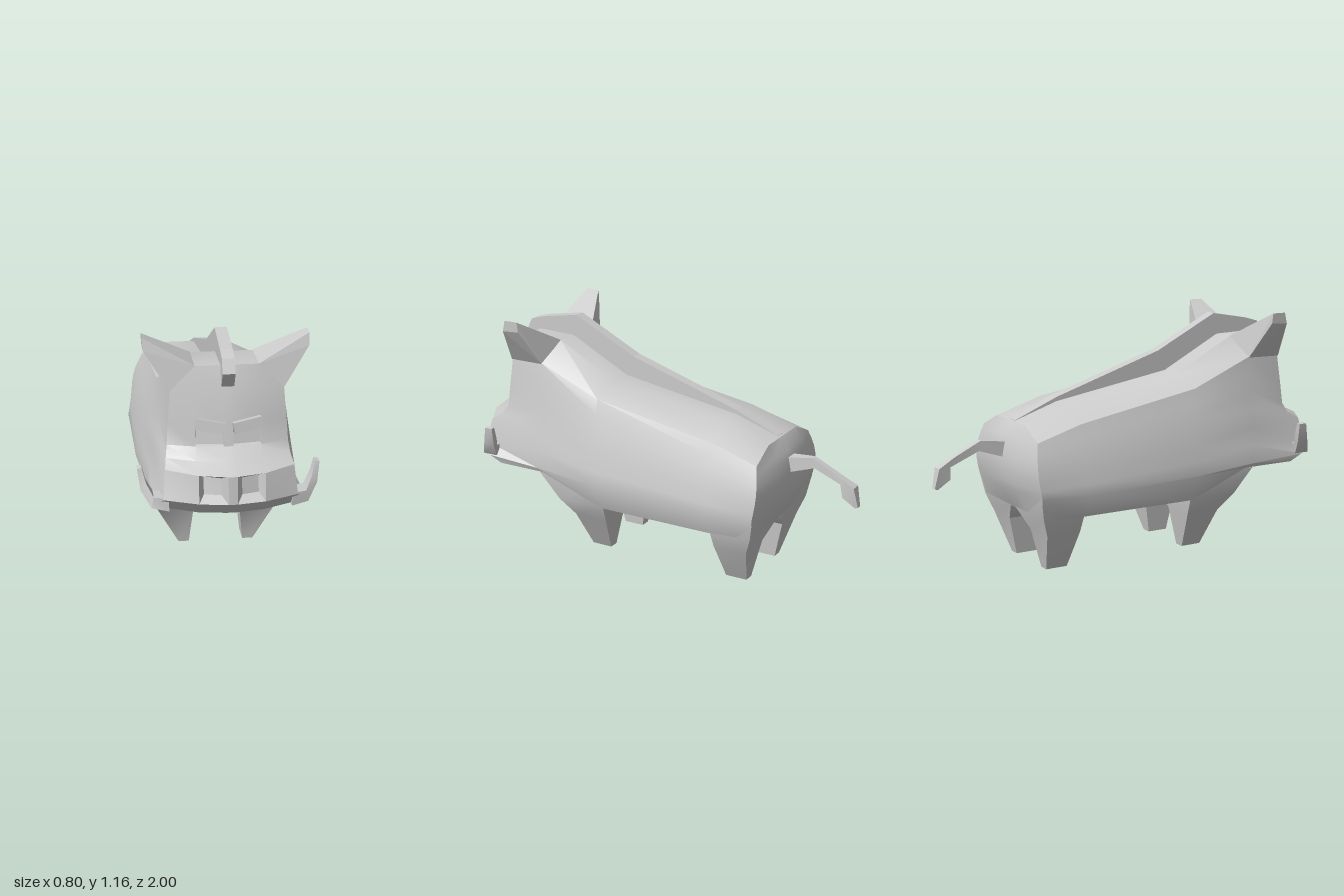
import * as THREE from 'three';
import { toCreasedNormals } from 'three/addons/utils/BufferGeometryUtils.js';
import { ConvexGeometry } from 'three/addons/geometries/ConvexGeometry.js';

const material = new THREE.MeshStandardMaterial({ color: 0xcccccc, side: THREE.DoubleSide });
const lerp = THREE.MathUtils.lerp;

// Collects quads; mirrored quads are repeated on the -x side.
class Shell {
  constructor(mirror) { this.mirror = mirror; this.pos = []; }
  quad(a, b, c, d) {
    this.pos.push(...a, ...b, ...c, ...a, ...c, ...d);
    if (this.mirror) {
      const [p, q, r, s] = [d, c, b, a].map(([x, y, z]) => [-x, y, z]);
      this.pos.push(...p, ...q, ...r, ...p, ...r, ...s);
    }
  }
  mesh(name, crease = 0.6) {
    const g = new THREE.BufferGeometry();
    g.setAttribute('position', new THREE.Float32BufferAttribute(this.pos, 3));
    return named(toCreasedNormals(g, crease), name);
  }
}

function named(geometry, name) {
  const m = new THREE.Mesh(geometry, material);
  m.name = name;
  return m;
}

// Closed loft through four-cornered rings, capped at both ends.
function loft(name, rings, mirror) {
  const s = new Shell(mirror);
  for (let i = 0; i < rings.length - 1; i++) {
    for (let k = 0; k < 4; k++) {
      const n = (k + 1) % 4;
      s.quad(rings[i][k], rings[i][n], rings[i + 1][n], rings[i + 1][k]);
    }
  }
  s.quad(...[...rings[0]].reverse());
  s.quad(...rings[rings.length - 1]);
  return s.mesh(name, 0.5);
}

// Edge rows of the face: edge x, y, z, then centre y, z.
const faceRows = [
  [0.15, 1.035, 0.75, 1.035, 0.75],
  [0.25, 0.93, 0.765, 0.93, 0.79],
  [0.262, 0.785, 0.78, 0.785, 0.82],
  [0.268, 0.69, 0.79, 0.69, 0.838],
  [0.275, 0.64, 0.82, 0.645, 0.9],
  [0.283, 0.61, 0.88, 0.61, 0.99],
  [0.295, 0.485, 0.92, 0.485, 1.0],
  [0.345, 0.435, 0.86, 0.415, 0.93],
  [0.335, 0.40, 0.8, 0.40, 0.8],
];

// Half cross-section: top edge A, shoulder B to widest D in steps, belly E.
function section(A, B, D, E, bow) {
  const pts = [A];
  for (let i = 0; i <= 6; i++) {
    const t = i / 6;
    pts.push([lerp(B[0], D[0], t) + bow * Math.sin(Math.PI * t), lerp(B[1], D[1], t),
      lerp(B[2], D[2], t) - (B[2] < -0.5 ? 0.02 * Math.sin(Math.PI * t) : 0)]);
  }
  pts.push(E);
  return pts;
}

// Surface spanning the two edges, bowed towards the centre line.
function grid(rows) {
  return rows.map(([ex, ey, ez, cy, cz]) => [0, 0.02, 0.145, ex].map((x) => {
    const t = (x / ex) ** 2;
    return [x, lerp(cy, ey, t), lerp(cz, ez, t)];
  }));
}

// Sunken pocket replacing one cell of the face.
function pocket(s, corners, inset, depth) {
  const mid = [0, 1, 2].map((k) => corners.reduce((sum, p) => sum + p[k] / 4, 0));
  const floor = corners.map((p) => [lerp(p[0], mid[0], inset), lerp(p[1], mid[1], inset), p[2] - depth]);
  for (let k = 0; k < 4; k++) {
    const n = (k + 1) % 4;
    s.quad(corners[k], corners[n], floor[n], floor[k]);
  }
  s.quad(...floor);
}

function buildBody() {
  const s = new Shell(true);
  const rear = section([0.15, 0.695, -0.6], [0.28, 0.635, -0.605], [0.335, 0.38, -0.61], [0.3, 0.275, -0.59], 0.02);
  const rings = [
    rear,
    section([0.14, 0.77, -0.37], [0.27, 0.7, -0.37], [0.37, 0.38, -0.38], [0.33, 0.275, -0.38], 0.012),
    section([0.14, 0.87, 0.24], [0.27, 0.81, 0.26], [0.37, 0.4, 0.22], [0.33, 0.275, 0.2], 0.012),
    section([0.14, 1.03, 0.55], [0.265, 0.94, 0.58], [0.345, 0.42, 0.57], [0.335, 0.4, 0.56], 0),
    faceRows.map((r) => r.slice(0, 3)),
  ].map((r) => [[0, r[0][1], r[0][2]], ...r, [0, r[8][1], r[8][2]]]);
  for (let i = 0; i < rings.length - 1; i++) {
    const [a, b] = [rings[i], rings[i + 1]];
    for (let k = 0; k < a.length - 1; k++) s.quad(b[k], b[k + 1], a[k + 1], a[k]);
  }
  // Face with eye sockets and nostrils, and the rounded rump
  const face = grid(faceRows);
  const rump = grid(rear.map(([x, y, z], i) => [x, y, z, y, i === 0 || i === 8 ? z : z - 0.035]));
  for (let i = 0; i < 8; i++) {
    for (let j = 0; j < 3; j++) {
      const cell = [face[i][j], face[i + 1][j], face[i + 1][j + 1], face[i][j + 1]];
      if (j === 1 && i === 5) pocket(s, cell, 0.4, 0.05);
      else if (j === 1 && i === 2) pocket(s, cell, 0.05, 0.02);
      else s.quad(...cell);
      s.quad(rump[i][j], rump[i][j + 1], rump[i + 1][j + 1], rump[i + 1][j]);
    }
  }
  return s.mesh('body');
}

// Leg pair from levels of y, inner x, outer x, back z, front z.
function legs(name, levels) {
  return loft(name, levels.map(([y, x0, x1, z0, z1]) =>
    [[x1, y, z1], [x1, y, z0], [x0, y, z0], [x0, y, z1]]), true);
}

export function createModel() {
  const model = new THREE.Group();
  model.name = 'boar';
  model.add(buildBody());

  model.add(legs('frontLegs', [
    [0, 0.13, 0.18, 0.25, 0.355], [0.19, 0.11, 0.282, 0.215, 0.39],
    [0.275, 0.03, 0.328, 0.2, 0.455], [0.4, 0, 0.34, 0.2, 0.56]]));
  model.add(legs('rearLegs', [
    [0, 0.13, 0.18, -0.515, -0.405], [0.19, 0.11, 0.28, -0.56, -0.387],
    [0.275, 0.03, 0.31, -0.592, -0.38], [0.38, 0, 0.33, -0.612, -0.38]]));

  // Tusks: lower x, y, upper x, y, front z, back z
  model.add(loft('tusks', [
    [0.27, 0.43, 0.27, 0.49, 0.92, 0.84], [0.345, 0.44, 0.335, 0.49, 0.9, 0.82],
    [0.39, 0.51, 0.365, 0.54, 0.86, 0.8], [0.402, 0.602, 0.382, 0.605, 0.84, 0.8],
  ].map(([lx, ly, ux, uy, zf, zb]) => [[lx, ly, zb], [ux, uy, zb], [ux, uy, zf], [lx, ly, zf]]), true));

  // Tail: top z, y, bottom z, y, half width
  model.add(loft('tail', [
    [-0.6, 0.6, -0.6, 0.52, 0.03], [-0.65, 0.605, -0.65, 0.53, 0.03],
    [-0.765, 0.618, -0.775, 0.57, 0.016], [-0.9, 0.553, -0.92, 0.51, 0.016],
    [-0.98, 0.51, -0.925, 0.455, 0.026], [-1, 0.415, -0.985, 0.41, 0.014],
  ].map(([tz, ty, bz, by, w]) => [[-w, by, bz], [-w, ty, tz], [w, ty, tz], [w, by, bz]]), false));

  // Mane ridge along the back
  const outline = [[0.74, 0.95], [0.79, 0.95], [0.83, 1.02], [0.8, 1.08], [0.73, 1.1], [0.53, 1.135],
    [0.2, 0.97], [-0.37, 0.79], [-0.59, 0.7], [-0.58, 0.66], [-0.37, 0.74], [0.24, 0.84], [0.55, 0.98]];
  const mane = new THREE.ExtrudeGeometry(new THREE.Shape(outline.map(([z, y]) => new THREE.Vector2(-z, y))),
    { depth: 0.056, bevelEnabled: false });
  mane.translate(0, 0, -0.028).rotateY(Math.PI / 2);
  model.add(named(mane, 'mane'));

  for (const side of [1, -1]) {
    const prefix = side > 0 ? 'left' : 'right';
    const ear = [[0.14, 1.032, 0.55], [0.14, 1.036, 0.752], [0.25, 0.93, 0.77], [0.265, 0.935, 0.58],
      [0.365, 1.16, 0.65], [0.365, 1.16, 0.72], [0.362, 1.105, 0.735], [0.362, 1.11, 0.645]];
    model.add(named(new ConvexGeometry(ear.map(([x, y, z]) => new THREE.Vector3(side * x, y, z))), prefix + 'Ear'));

    const brow = named(new THREE.BoxGeometry(0.128, 0.05, 0.05), prefix + 'Brow');
    brow.position.set(side * 0.083, 0.783, 0.82);
    brow.rotation.set(-0.15, side * 0.1, side * 0.19);
    model.add(brow);
  }
  return model;
}
